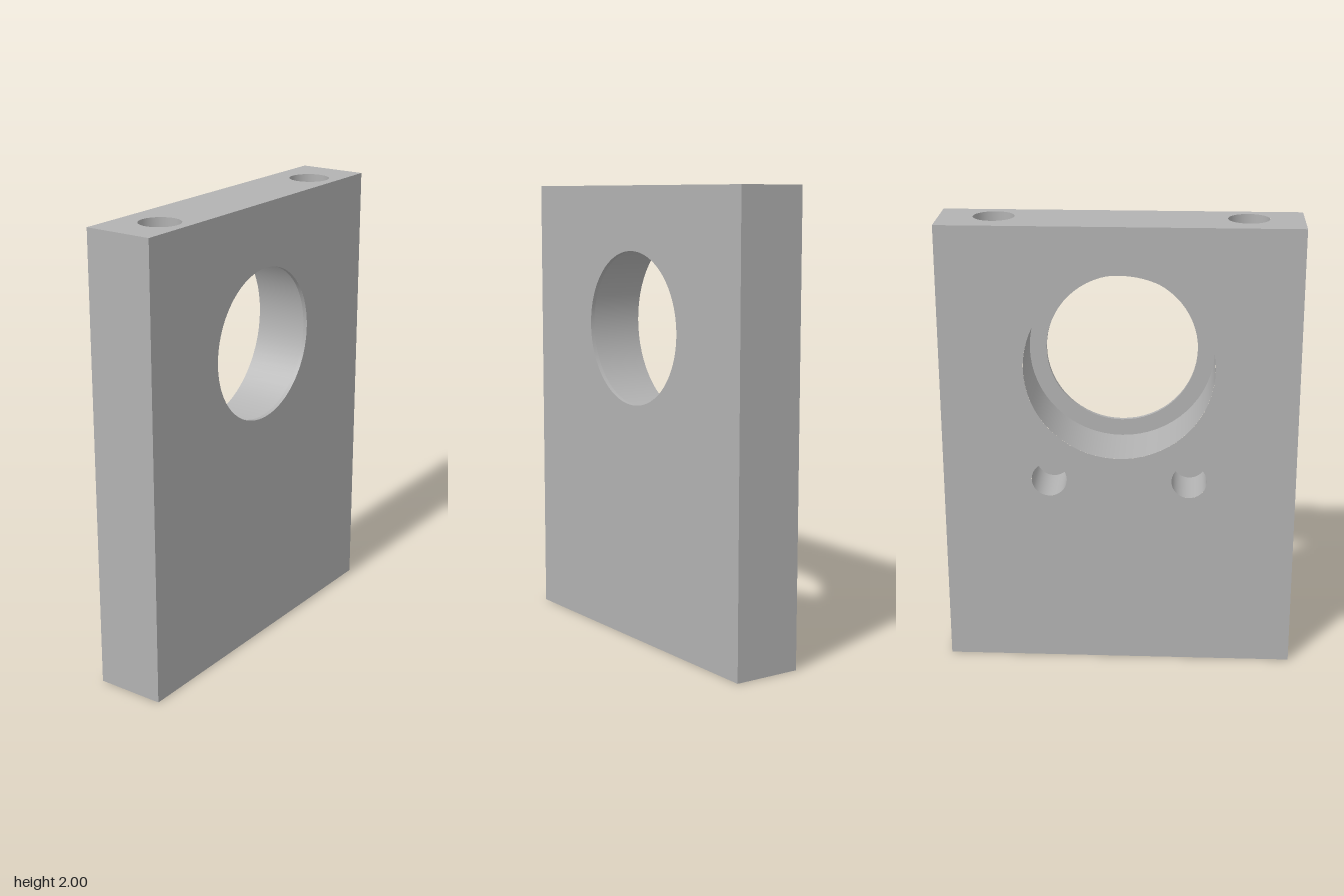
import * as THREE from 'three';

const W = 1.54, H = 2, D = 0.306;
const F = D / 2;

export function createModel() {
  const model = new THREE.Group();
  const grey = new THREE.MeshStandardMaterial({ color: 0xb2b2b2 });
  grey.name = 'machined grey';

  // Flat rectangular wall with round holes given as [x, y, radius]
  const wall = (name, w, h, holes = []) => {
    const shape = new THREE.Shape();
    shape.moveTo(-w / 2, -h / 2);
    shape.lineTo(w / 2, -h / 2);
    shape.lineTo(w / 2, h / 2);
    shape.lineTo(-w / 2, h / 2);
    shape.closePath();
    for (const [x, y, r] of holes) {
      shape.holes.push(new THREE.Path().absarc(x, y, r, 0, Math.PI * 2, true));
    }
    const mesh = new THREE.Mesh(new THREE.ShapeGeometry(shape, 64), grey);
    mesh.name = name;
    model.add(mesh);
    return mesh;
  };

  // Turned hole: each profile step is its own surface, so edges stay sharp
  const bore = (name, profile) => {
    const group = new THREE.Group();
    group.name = name;
    for (let i = 0; i + 1 < profile.length; i++) {
      const pts = [profile[i], profile[i + 1]].map(([r, y]) => new THREE.Vector2(r, y));
      const mesh = new THREE.Mesh(new THREE.LatheGeometry(pts, 64), grey);
      mesh.name = name + 'Surface';
      group.add(mesh);
    }
    model.add(group);
    return group;
  };

  const boreY = 1.385, boreR = 0.335, pocketR = 0.41, lip = 0.018;
  const pinX = 0.306, pinY = 0.873, pinR = 0.077, pinDepth = 0.23;
  const boltX = 0.537, boltZ = 0.022, boltR = 0.088;

  // Plate faces
  wall('frontFace', W, H, [[0, boreY - 1, boreR]]).position.set(0, 1, F);

  const back = wall('backFace', W, H, [
    [0, boreY - 1, pocketR],
    [-pinX, pinY - 1, pinR],
    [pinX, pinY - 1, pinR],
  ]);
  back.position.set(0, 1, -F);
  back.rotation.y = Math.PI;

  const top = wall('topFace', W, D, [[-boltX, -boltZ, boltR], [boltX, -boltZ, boltR]]);
  top.position.y = H;
  top.rotation.x = -Math.PI / 2;

  const bottom = wall('bottomFace', W, D, [[-boltX, boltZ, boltR], [boltX, boltZ, boltR]]);
  bottom.rotation.x = Math.PI / 2;

  for (const s of [-1, 1]) {
    const side = wall(s > 0 ? 'leftFace' : 'rightFace', D, H);
    side.position.set(s * W / 2, 1, 0);
    side.rotation.y = s * Math.PI / 2;
  }

  // Stepped main bore, with a thin lip at the front
  const main = bore('mainBore', [
    [boreR, F], [boreR, F - lip], [pocketR, F - lip], [pocketR, -F],
  ]);
  main.position.y = boreY;
  main.rotation.x = Math.PI / 2;

  for (const s of [-1, 1]) {
    // Blind holes in the back
    const floor = -F + pinDepth;
    const pin = bore('blindHole', [[0, floor], [pinR, floor], [pinR, -F]]);
    pin.position.set(s * pinX, pinY, 0);
    pin.rotation.x = Math.PI / 2;

    // Bolt holes running the full height
    bore('boltHole', [[boltR, H], [boltR, 0]]).position.set(s * boltX, 0, boltZ);
  }

  return model;
}
